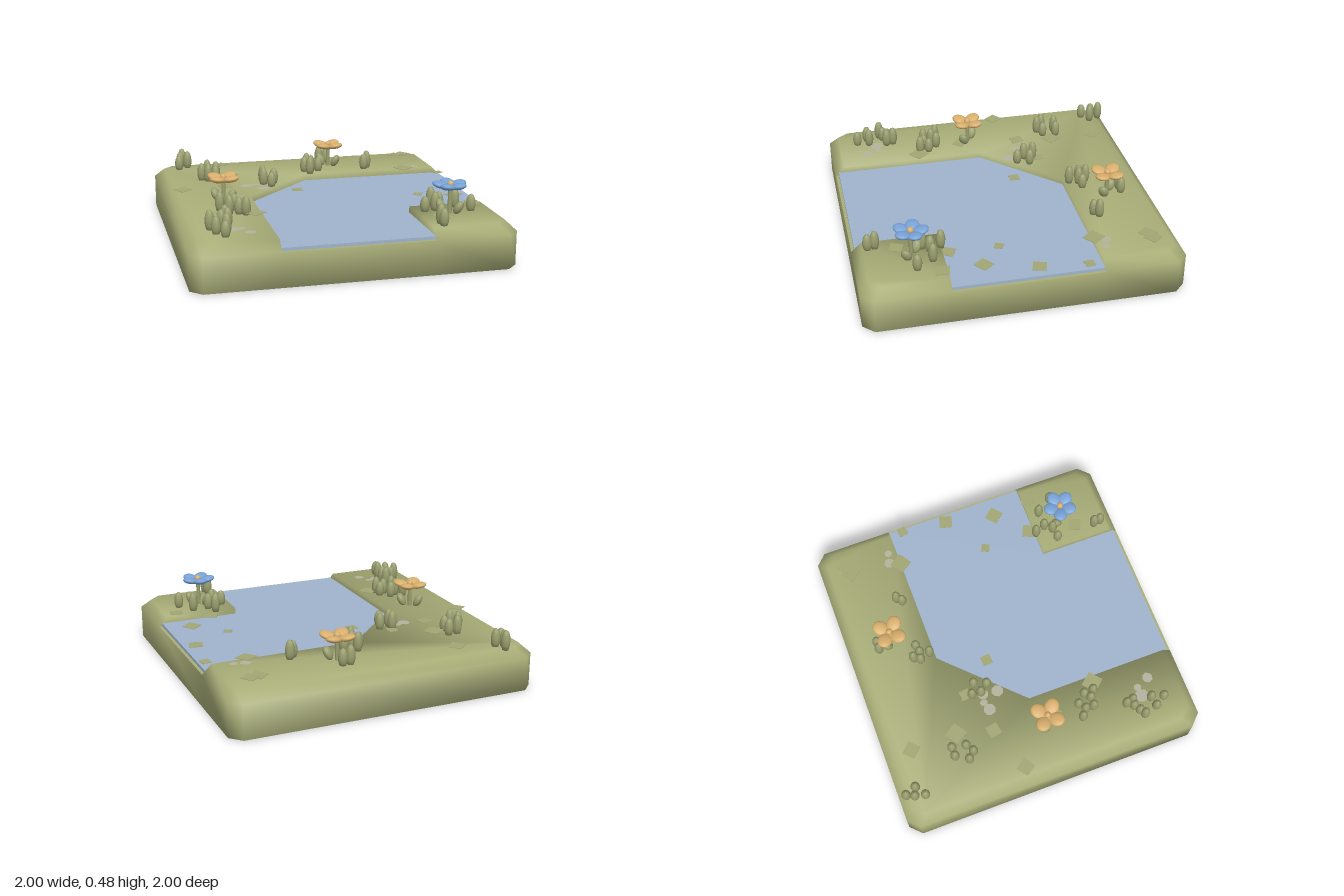
import * as THREE from 'three';

const mat = (name, color, side = THREE.FrontSide) => {
  const m = new THREE.MeshStandardMaterial({ color, side });
  m.name = name;
  return m;
};

// Cap of an (x,z) outline at height y, facing up (dir 1) or down (dir -1)
function cap(out, pts, y, dir) {
  const v = pts.map(([x, z]) => new THREE.Vector2(x, z));
  for (const [a, b, c] of THREE.ShapeUtils.triangulateShape(v, [])) {
    const cross = (v[b].x - v[a].x) * (v[c].y - v[a].y) - (v[b].y - v[a].y) * (v[c].x - v[a].x);
    const order = cross * dir < 0 ? [a, b, c] : [a, c, b];
    order.forEach((i) => out.push(v[i].x, y, v[i].y));
  }
}

// Walls between two matching outlines that run from +x towards +z
function walls(out, low, y0, high, y1) {
  low.forEach((p, i) => {
    const j = (i + 1) % low.length;
    const a = [p[0], y0, p[1]], b = [low[j][0], y0, low[j][1]];
    const c = [high[i][0], y1, high[i][1]], d = [high[j][0], y1, high[j][1]];
    out.push(...a, ...c, ...d, ...a, ...d, ...b);
  });
}

// Geometry from triangles; smooth averages the face normals at shared corners
function toGeometry(pos, smooth) {
  const g = new THREE.BufferGeometry();
  g.setAttribute('position', new THREE.Float32BufferAttribute(pos, 3));
  g.computeVertexNormals();
  if (!smooth) return g;
  const p = g.attributes.position, n = g.attributes.normal, sums = new Map();
  const key = (i) => [p.getX(i), p.getY(i), p.getZ(i)].map((v) => v.toFixed(3)).join();
  for (let i = 0; i < p.count; i++) {
    if (!sums.has(key(i))) sums.set(key(i), new THREE.Vector3());
    sums.get(key(i)).add(new THREE.Vector3().fromBufferAttribute(n, i));
  }
  sums.forEach((s) => s.normalize());
  for (let i = 0; i < p.count; i++) n.setXYZ(i, ...sums.get(key(i)).toArray());
  return g;
}

export function createModel() {
  const model = new THREE.Group();
  model.name = 'pondTile';
  const moss = mat('moss green', 0xa9ae78);
  const grass = mat('grass green', 0x989e6e);
  const leafGreen = mat('fallen leaf green', 0xa2a674);
  const water = mat('water blue', 0x9fb3cc);
  const orange = mat('petal orange', 0xd8ae6c);
  const blue = mat('petal blue', 0x78a2d6);
  const pale = mat('pale lichen', 0xb3b29c, THREE.DoubleSide);
  const shade = mat('faded petal', 0x92928a, THREE.DoubleSide);

  const add = (parent, name, geo, material, x = 0, y = 0, z = 0) => {
    const m = new THREE.Mesh(geo, material);
    m.name = name;
    m.position.set(x, y, z);
    parent.add(m);
    return m;
  };

  // Ground: lower block, raised bank around the pond and a raised corner
  const bank = [[-0.47, 1], [-0.93, 1], [-1, 0.93], [-1, -0.93], [-0.93, -1], [0.93, -1],
    [1, -0.93], [1, -0.47], [0, -0.47], [-0.47, 0]];
  const corner = [[1, 0.465], [1, 0.93], [0.93, 1], [0.465, 1], [0.465, 0.465]];
  const outer = [...corner.slice(0, 4), ...bank.slice(0, 8)];
  const inset = (pts) => pts.map((p) => p.map((v) => (Math.abs(v) > 0.9 ? v * 0.94 : v)));
  const tris = [];
  walls(tris, outer, 0.003, outer, 0.22);
  cap(tris, outer, 0.003, -1);
  for (const ring of [bank, corner]) {
    walls(tris, ring, 0.22, inset(ring), 0.28);
    cap(tris, inset(ring), 0.28, 1);
  }
  add(model, 'ground', toGeometry(tris, true), moss);

  // Pond floor and water slab
  const pond = (e) => [[e, -0.47], [e, 0.465], [0.465, 0.465], [0.465, e], [-0.47, e], [-0.47, 0], [0, -0.47]];
  const floor = [], slab = [];
  cap(floor, pond(1), 0.22, 1);
  add(model, 'pondFloor', toGeometry(floor), moss);
  walls(slab, pond(0.98), 0.22, pond(0.98), 0.24);
  cap(slab, pond(0.98), 0.24, 1);
  add(model, 'water', toGeometry(slab), water);

  // Grass blades
  const blade = new THREE.LatheGeometry([[0, 0], [0.02, 0], [0.028, 0.03], [0.03, 0.055], [0.026, 0.085],
    [0.016, 0.11], [0, 0.12]].map(([x, y]) => new THREE.Vector2(x, y)), 10);
  const tufts = [
    [[-.8, -.95], [-.82, -.9], [-.77, -.88], [-.835, -.835]],
    [[-.67, -.58], [-.61, -.58], [-.72, -.5], [-.625, -.49], [-.68, -.46]],
    [[-.325, -.34], [-.255, -.305], [-.33, -.28], [-.285, -.225]],
    [[.045, -.61], [.02, -.57], [.065, -.56], [.12, -.57], [.045, -.5]],
    [[.48, -.58], [.45, -.55]],
    [[.18, -.8], [.23, -.8]],
    [[-.715, .275], [-.625, .28], [-.67, .31], [-.57, .34], [-.67, .365], [-.61, .37], [-.57, .4]],
    [[-.73, .57], [-.76, .61], [-.72, .615], [-.8, .635], [-.835, .655], [-.81, .745], [-.745, .735], [-.765, .815]],
    [[.605, .465], [.635, .535], [.595, .58], [.525, .59], [.74, .535], [.81, .64]],
    [[.535, .86], [.54, .905]],
  ];
  tufts.forEach((tuft) => {
    const g = new THREE.Group();
    g.name = 'grassTuft';
    model.add(g);
    tuft.forEach(([x, z], i) => {
      add(g, 'blade', blade, grass, x, 0.275, z).scale.y = [1.08, 0.94, 1.04, 0.86][i % 4];
    });
  });

  // Flowers with stem, two leaves, petals and centre
  const ball = new THREE.SphereGeometry(1, 16, 10);
  const flower = (x, z, n, start, r, h, petalMat) => {
    const f = new THREE.Group();
    f.name = 'flower';
    f.position.set(x, 0.28, z);
    model.add(f);
    add(f, 'stem', new THREE.CylinderGeometry(0.012, 0.014, h, 10), grass, 0, h / 2, 0);
    for (const s of [1, -1]) {
      const leaf = add(f, 'leaf', ball, grass, s * 0.045, 0.038, s * 0.035);
      leaf.scale.set(0.026, 0.047, 0.034);
      leaf.rotation.set(0, -0.66, -s * 0.5);
    }
    for (let i = 0; i < n; i++) {
      const a = start + (i / n) * Math.PI * 2;
      const pivot = new THREE.Group();
      pivot.name = 'petalPivot';
      pivot.rotation.y = a;
      f.add(pivot);
      const p = add(pivot, 'petal', ball, petalMat, r * 0.58, h + 0.005, 0);
      p.scale.set(r * 0.5, 0.021, r * 0.44);
      p.rotation.z = 0.22;
    }
    add(f, 'bloomBase', ball, petalMat, 0, h - 0.008, 0).scale.set(r * 0.45, 0.018, r * 0.45);
    add(f, 'bloomCentre', ball, orange, 0, h + 0.012, 0).scale.setScalar(0.021);
  };
  flower(0.225, -0.705, 4, Math.PI / 4, 0.108, 0.145, orange);
  flower(-0.655, 0.05, 4, Math.PI / 4, 0.108, 0.145, orange);
  flower(0.665, 0.655, 5, Math.PI / 2, 0.105, 0.172, blue);

  // Fallen square leaves: x, z, size, turn in degrees, height
  [[-.53, -.825, .085, 45, .3], [-.53, -.525, .1, 35, .3], [-.89, -.185, .085, 35, .305],
    [-.305, -.38, .065, 5, .29], [-.12, -.165, .065, 5, .262], [-.59, -.29, .08, 10, .283],
    [.765, -.805, .09, 40, .305], [.82, -.82, .085, 40, .305], [.72, -.47, .1, 35, .29],
    [.95, -.38, .06, 10, .265], [.915, -.08, .085, -15, .265], [.64, .11, .055, -25, .255],
    [.84, .245, .09, 40, .275], [.65, .43, .085, -25, .265], [.87, .5, .085, -10, .29],
    [.575, .735, .08, -20, .29], [-.515, .42, .1, 40, .295], [-.625, .11, .08, 45, .285],
  ].forEach(([x, z, s, turn, y], i) => {
    const m = add(model, 'fallenLeaf', new THREE.BoxGeometry(s, 0.003, s), leafGreen, x, y, z);
    m.rotation.set(0.04 * (i % 3 - 1), THREE.MathUtils.degToRad(turn), 0);
  });

  // Pale lichen spots: x, z, radius
  [[-.45, -.265, .04], [-.395, -.285, .025], [-.34, -.27, .035], [-.35, -.175, .04], [-.71, .69, .045],
    [-.65, .685, .025], [-.61, .77, .035], [.75, -.54, .035], [.82, -.525, .025]].forEach(([x, z, r]) => {
    add(model, 'lichenSpot', new THREE.CircleGeometry(r, 8), pale, x, 0.283, z).rotation.x = -Math.PI / 2;
  });

  // Faint flat blossoms on the underside
  for (const [x, z] of [[0.58, 0.19], [0.22, 0.47]]) {
    for (let i = 0; i < 5; i++) {
      const a = (i / 5) * Math.PI * 2;
      add(model, 'undersidePetal', new THREE.CircleGeometry(0.055, 10), shade,
        x + 0.1 * Math.cos(a), 0.0015, z + 0.1 * Math.sin(a)).rotation.x = Math.PI / 2;
    }
    add(model, 'undersideCentre', new THREE.CircleGeometry(0.03, 10), orange, x, 0.001, z).rotation.x = Math.PI / 2;
  }
  return model;
}
